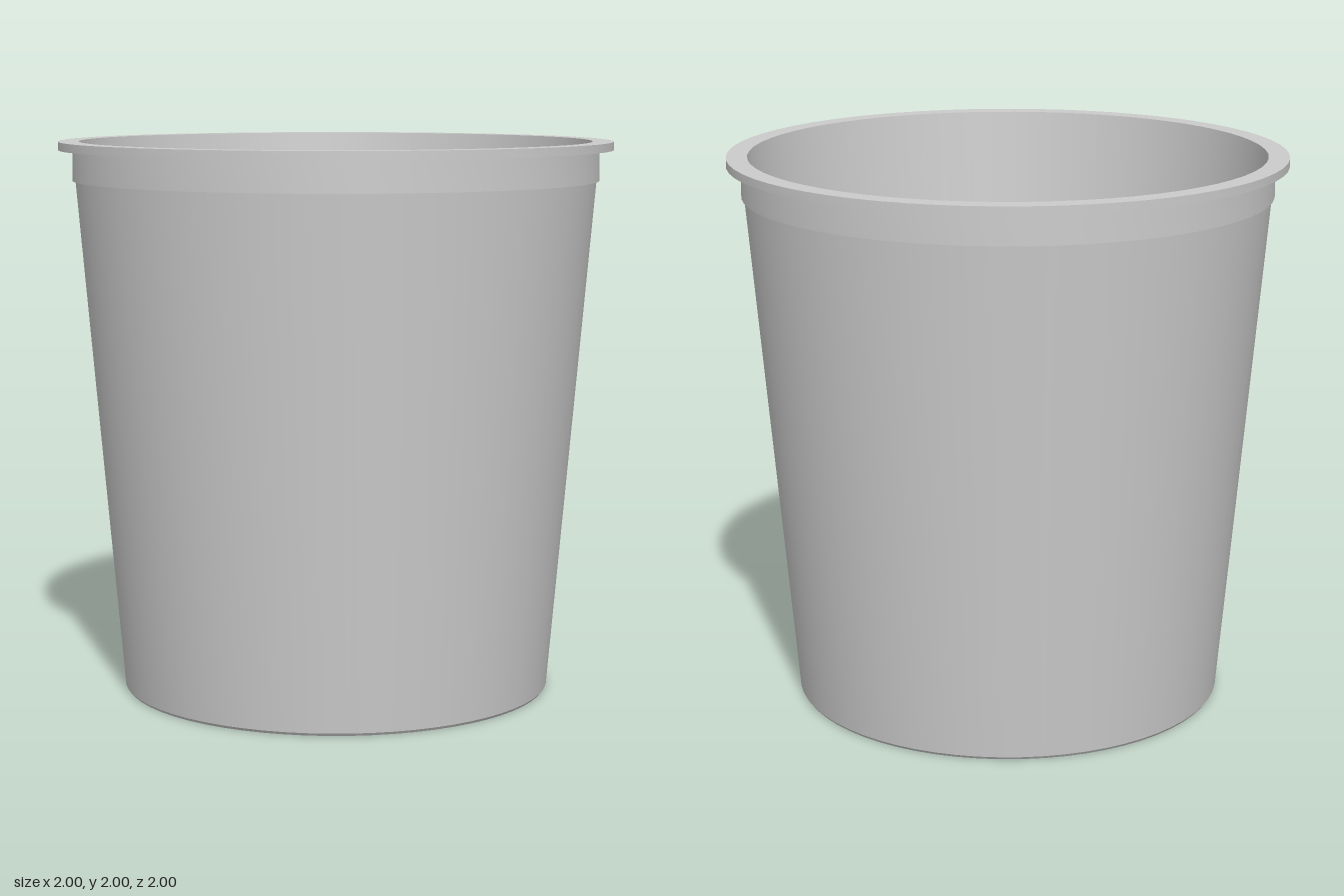
import * as THREE from 'three';
import { toCreasedNormals } from 'three/addons/utils/BufferGeometryUtils.js';

const SEGMENTS = 64;

export function createModel() {
  const group = new THREE.Group();
  group.name = 'pot';
  const material = new THREE.MeshStandardMaterial({ color: 0xcccccc, side: THREE.DoubleSide });

  // Revolve a [radius, height] profile, keeping its corners sharp
  function addTurned(name, profile) {
    const points = profile.map(([r, y]) => new THREE.Vector2(r, y));
    const geometry = toCreasedNormals(new THREE.LatheGeometry(points, SEGMENTS), 0.4);
    const mesh = new THREE.Mesh(geometry, material);
    mesh.name = name;
    group.add(mesh);
  }

  // Underside: small gate dimple, shallow recess and flat standing ring
  addTurned('underside', [
    [0, 0.045], [0.085, 0.045], [0.085, 0.03], [0.59, 0.03], [0.595, 0], [0.775, 0],
  ]);

  // Tapered outer wall with a tiny rounded foot
  addTurned('outerWall', [[0.775, 0], [0.782, 0.01], [0.94, 1.86]]);

  // Straight collar and flat lip at the top
  addTurned('collarAndRim', [
    [0.94, 1.86], [0.95, 1.86], [0.95, 1.97], [1, 1.97], [1, 2], [0.925, 2],
  ]);

  // Inner wall running down to the floor
  addTurned('innerWall', [[0.925, 2], [0.76, 0.03]]);

  // Inside floor, raised over the recess below
  addTurned('floor', [[0.76, 0.03], [0.62, 0.03], [0.595, 0.06], [0, 0.06]]);

  return group;
}
